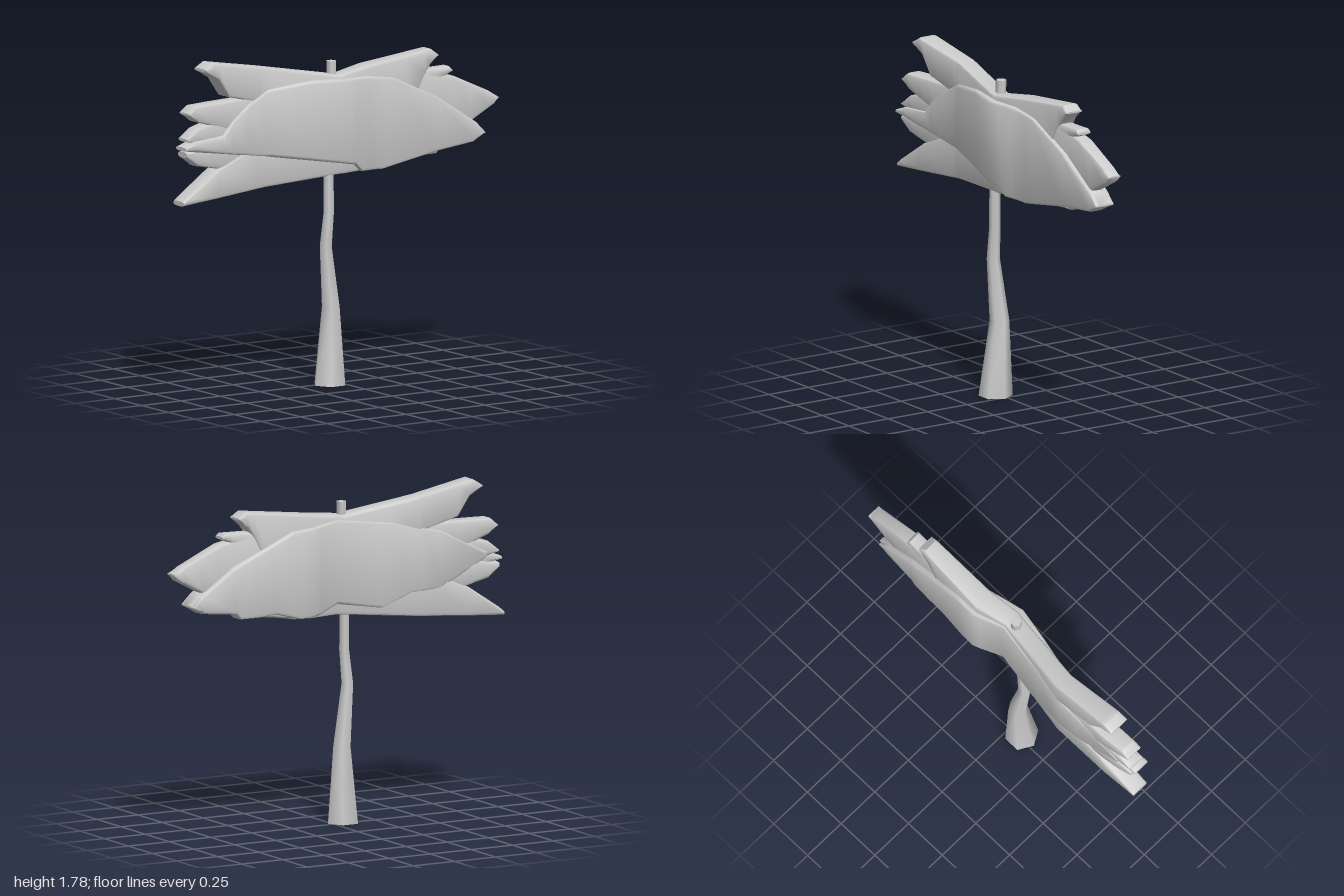
import * as THREE from 'three';
import { toCreasedNormals } from 'three/addons/utils/BufferGeometryUtils.js';

const material = new THREE.MeshStandardMaterial({ color: 0xcccccc });

// Skin a list of equal-length rings of [x, y, z] and close both ends.
function loft(name, rings, crease) {
  const n = rings[0].length, pos = rings.flat(2), index = [];
  const last = (rings.length - 1) * n;
  for (let r = 0; r < rings.length - 1; r++) {
    for (let i = 0; i < n; i++) {
      const j = (i + 1) % n, a = r * n, b = a + n;
      index.push(a + i, a + j, b + j, a + i, b + j, b + i);
    }
  }
  for (let i = 1; i < n - 1; i++) {
    index.push(0, i + 1, i, last, last + i, last + i + 1);
  }
  const g = new THREE.BufferGeometry();
  g.setAttribute('position', new THREE.Float32BufferAttribute(pos, 3));
  g.setIndex(index);
  const mesh = new THREE.Mesh(toCreasedNormals(g, crease), material);
  mesh.name = name;
  return mesh;
}

// Value of column k at x in a table sorted by x.
function at(table, x, k = 1) {
  if (x <= table[0][0]) return table[0][k];
  for (let i = 1; i < table.length; i++) {
    const a = table[i - 1], b = table[i];
    if (x <= b[0]) return a[k] + (b[k] - a[k]) * (x - a[0]) / (b[0] - a[0]);
  }
  return table[table.length - 1][k];
}

// Bent board with rounded edges: upper and lower outline [x, y], bend [x, back z, front z].
function board(name, upper, lower, bend) {
  const x0 = upper[0][0], x1 = upper[upper.length - 1][0];
  const xs = [...new Set([...upper, ...lower, ...bend].map(p => p[0]))]
    .filter(x => x >= x0 && x <= x1).sort((a, b) => a - b);
  const rings = xs.map(x => {
    const t = at(upper, x), b = at(lower, x), k = at(bend, x, 1), f = at(bend, x, 2);
    const cz = (x === x0 || x === x1) ? 0.03 : 0.018, cy = Math.min(0.018, (t - b) * 0.3);
    const m = 0.3; // softness of the rounded corner
    const corner = (y, z, sy, sz, flip) => {
      const c = [[y, z - sz * cz], [y - sy * cy * m, z - sz * cz * m], [y - sy * cy, z]];
      return flip ? c.reverse() : c;
    };
    return [
      ...corner(t, f, 1, 1, false), ...corner(b, f, -1, 1, true),
      ...corner(b, k, -1, -1, false), ...corner(t, k, 1, -1, true),
    ].map(([y, z]) => [x, y, z]);
  });
  return loft(name, rings, 0.75);
}

// Bends of the three layers
const middle = [[-1, -0.08, 0.025], [-0.8, -0.1, 0.02], [-0.46, -0.11, 0], [0, -0.035, 0.07],
  [0.17, -0.08, 0.045], [0.6, -0.065, 0.035], [1, -0.055, 0.035]];
const front = [[-1, -0.06, 0.035], [-0.46, -0.09, 0.012], [0, 0, 0.105],
  [0.2, -0.04, 0.062], [0.9, -0.06, 0.045]];
const rear = [[-0.9, -0.085, 0], [-0.48, -0.115, -0.02], [0, -0.048, 0.04],
  [0.17, -0.105, 0.02], [0.9, -0.075, 0.02]];
const shift = (bend, d) => bend.map(([x, k, f]) => [x, k + d, f - d]);

export function createModel() {
  const model = new THREE.Group();

  // Crooked six-sided trunk: [x, y, z, radius]
  const trunk = [[-0.07, 0, 0.022, 0.09], [-0.055, 0.41, 0.008, 0.052], [-0.095, 0.74, 0.02, 0.035],
    [-0.077, 0.92, 0.022, 0.03], [-0.078, 1.12, 0.022, 0.029], [-0.05, 1.6, 0.005, 0.028],
    [-0.048, 1.72, 0.002, 0.028]];
  model.add(loft('trunk', trunk.map(([x, y, z, r]) => Array.from({ length: 6 }, (_, i) => {
    const a = Math.PI / 6 + i * Math.PI / 3;
    return [x + r * Math.sin(a), y, z + r * Math.cos(a)];
  })), 1.1));

  const canopy = new THREE.Group();
  canopy.name = 'canopy';
  model.add(canopy);

  // Upper board with a raised tip at each end
  canopy.add(board('upperBoard',
    [[-0.85, 1.75], [-0.8, 1.78], [-0.04, 1.65], [0.57, 1.725], [0.61, 1.695]],
    [[-0.85, 1.735], [-0.77, 1.69], [-0.7, 1.59], [-0.5, 1.54], [-0.3, 1.3], [0.4, 1.35],
      [0.52, 1.585], [0.56, 1.64], [0.61, 1.685]], middle));

  // Lower board with a drooping tip
  canopy.add(board('lowerBoard',
    [[-0.995, 1.06], [-0.97, 1.08], [-0.77, 1.21], [-0.5, 1.32], [0.3, 1.4], [0.6, 1.25]],
    [[-0.995, 1.035], [-0.03, 1.12], [0.2, 1.125], [0.4, 1.15], [0.6, 1.165]], shift(middle, 0.003)));

  // Middle board reaching furthest to the left side
  canopy.add(board('middleBoard',
    [[-0.955, 1.525], [-0.915, 1.56], [-0.6, 1.57], [0, 1.6], [0.5, 1.61], [0.72, 1.565],
      [0.94, 1.465], [0.995, 1.43]],
    [[-0.955, 1.515], [-0.9, 1.475], [-0.72, 1.42], [0, 1.2], [0.5, 1.2], [0.82, 1.31],
      [0.97, 1.39], [0.995, 1.42]], shift(middle, 0.006)));

  // Short tips between the large boards
  canopy.add(board('shortTip',
    [[-0.965, 1.39], [-0.9, 1.44], [-0.7, 1.49], [-0.3, 1.55]],
    [[-0.965, 1.375], [-0.9, 1.36], [-0.3, 1.25]], shift(middle, 0.01)));
  canopy.add(board('shortTip',
    [[-0.97, 1.32], [-0.7, 1.36], [-0.2, 1.4]],
    [[-0.97, 1.29], [-0.9, 1.24], [-0.75, 1.21], [-0.5, 1.17], [-0.2, 1.17]], shift(middle, 0.013)));
  canopy.add(board('shortTip',
    [[0.2, 1.63], [0.5, 1.615], [0.69, 1.62], [0.705, 1.605]],
    [[0.2, 1.4], [0.5, 1.5], [0.66, 1.57], [0.705, 1.59]], shift(middle, 0.008)));

  // Large front board
  canopy.add(board('frontBoard',
    [[-0.99, 1.35], [-0.92, 1.375], [-0.74, 1.39], [-0.68, 1.46], [-0.58, 1.535], [-0.45, 1.605],
      [-0.2, 1.635], [0.15, 1.625], [0.32, 1.6], [0.6, 1.47], [0.85, 1.31], [0.9, 1.255]],
    [[-0.99, 1.33], [0.05, 1.17], [0.1, 1.125], [0.25, 1.12], [0.6, 1.18], [0.83, 1.205],
      [0.9, 1.245]], front));

  // Large rear board with a ragged lower edge
  canopy.add(board('rearBoard',
    [[-0.88, 1.4], [-0.6, 1.53], [-0.3, 1.6], [0, 1.63], [0.3, 1.6], [0.65, 1.44], [0.85, 1.3],
      [0.89, 1.25]],
    [[-0.88, 1.35], [-0.6, 1.22], [-0.42, 1.21], [-0.25, 1.14], [0, 1.18], [0.13, 1.14], [0.25, 1.13],
      [0.4, 1.17], [0.5, 1.16], [0.61, 1.16], [0.64, 1.19], [0.83, 1.21], [0.89, 1.24]], rear));

  return model;
}
